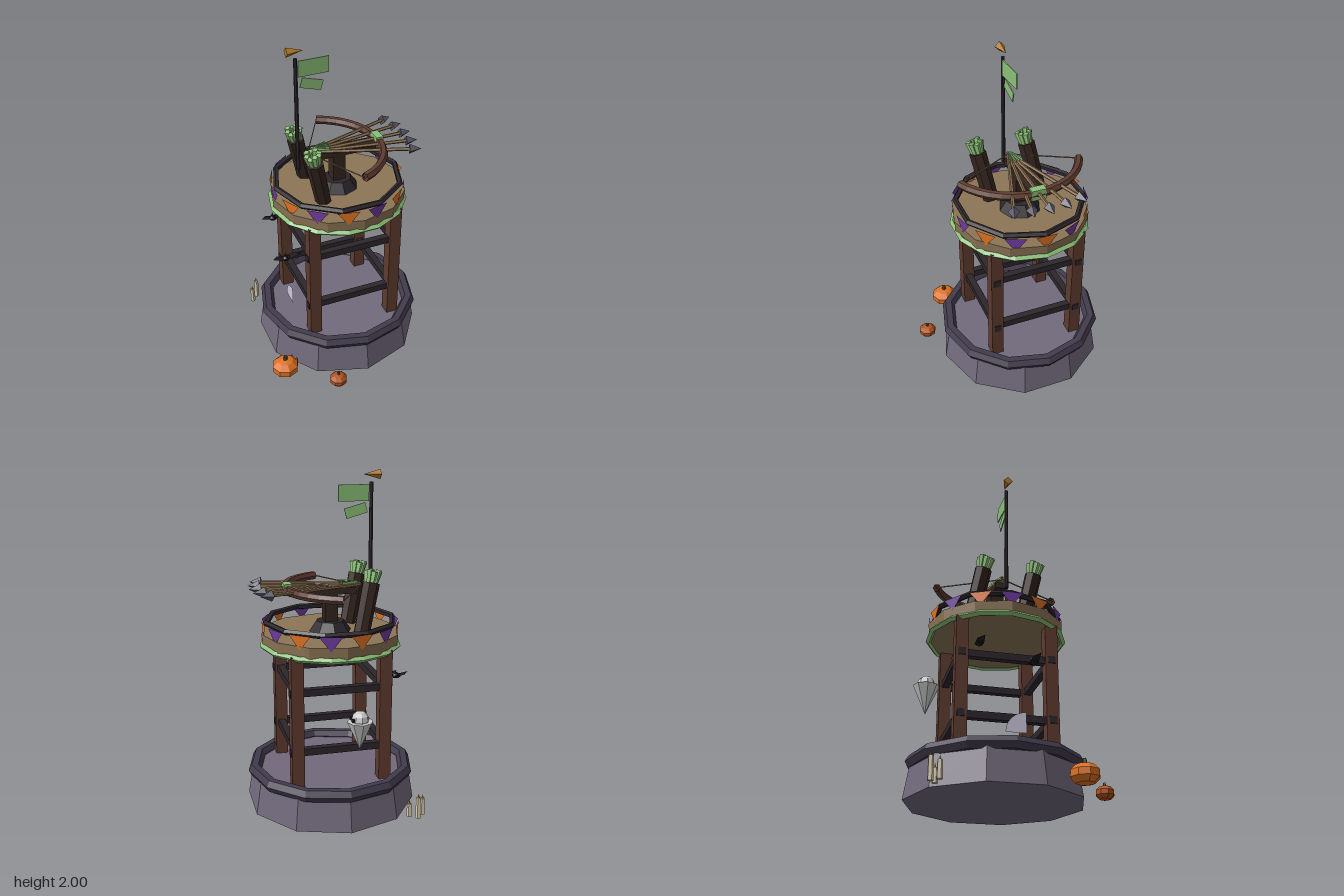
import * as THREE from 'three';

const CX = 0.03, CZ = -0.055;
const V = (x, y, z) => new THREE.Vector3(x, y, z);
const UP = V(0, 1, 0);

const C = {
  stone: 0x726a7c, rim: 0x413b4c, wood: 0x5f3c30, dark: 0x2c262b, deck: 0x8c7556,
  green: 0x8cc078, orange: 0xdd7022, purple: 0x6c3a9c, bark: 0x35251f, shaft: 0x8a7050,
  steel: 0x5a5866, gold: 0xb07a2c, white: 0xe6e8e6, ghost: 0xc4c8c4, black: 0x1c1a1f, cream: 0xd8ccb0,
  web: 0xcfc8dc, rust: 0xb0521c, stem: 0x4a4a2c,
};
const mats = {};
function mat(color, double = false) {
  const key = color + (double ? 'd' : '');
  return mats[key] ??= new THREE.MeshStandardMaterial({
    color, flatShading: true, side: double ? THREE.DoubleSide : THREE.FrontSide,
  });
}

export function createModel() {
  const model = new THREE.Group();

  function add(name, geo, color, pos = [0, 0, 0], parent = model, double = false) {
    const m = new THREE.Mesh(geo, mat(color, double));
    m.name = name;
    m.position.set(...pos);
    parent.add(m);
    return m;
  }
  const group = (name, pos = [0, 0, 0], parent = model) => {
    const g = new THREE.Group();
    g.name = name;
    g.position.set(...pos);
    parent.add(g);
    return g;
  };
  const box = (name, size, color, pos, parent) => add(name, new THREE.BoxGeometry(...size), color, pos, parent);
  // Tapered rod from a to b
  function rod(name, a, b, r0, r1, sides, color, parent) {
    const d = b.clone().sub(a);
    const m = add(name, new THREE.CylinderGeometry(r1, r0, d.length(), sides), color,
      a.clone().add(b).multiplyScalar(0.5).toArray(), parent);
    m.quaternion.setFromUnitVectors(UP, d.normalize());
    return m;
  }
  const ring = (name, r, tube, radial, sides, color, y) =>
    add(name, new THREE.TorusGeometry(r, tube, radial, sides).rotateX(Math.PI / 2), color, [CX, y, CZ]);
  // Flat double-sided polygon in the XY plane
  const flat = (name, pts, color, pos, parent) =>
    add(name, new THREE.ShapeGeometry(new THREE.Shape(pts.map(p => new THREE.Vector2(...p)))), color, pos, parent, true);

  // Stone base
  add('stoneBase', new THREE.CylinderGeometry(0.48, 0.515, 0.21, 10), C.stone, [CX, 0.105, CZ]);
  ring('baseRim', 0.47, 0.04, 6, 12, C.rim, 0.215);

  // Legs and rails
  for (const s of [-1, 1]) {
    for (const t of [-1, 1])
      box('leg', [0.073, 0.8, 0.073], C.wood, [CX + s * 0.26, 0.6, CZ + t * 0.26]);
    for (const y of [0.42, 0.78]) {
      box('crossRail', [0.604, 0.042, 0.042], C.dark, [CX, y, CZ + s * 0.26]);
      box('sideRail', [0.042, 0.042, 0.52], C.dark, [CX + s * 0.26, y, CZ]);
    }
  }

  // Deck with trim and railing
  add('deck', new THREE.CylinderGeometry(0.412, 0.405, 0.08, 12), C.deck, [CX, 1.028, CZ]);
  ring('deckTrim', 0.405, 0.018, 4, 14, C.green, 0.993);
  ring('railing', 0.383, 0.018, 5, 10, C.dark, 1.132);

  // Bunting
  for (let i = 0; i < 14; i++) {
    const a = i / 14 * Math.PI * 2;
    const f = flat('pennant', [[-0.066, 0], [0, -0.085], [0.066, 0]], i % 2 ? C.purple : C.orange,
      [CX + 0.4 * Math.cos(a), 1.13, CZ + 0.4 * Math.sin(a)]);
    f.rotation.y = Math.PI / 2 - a;
  }

  // Turret: pedestal, stock, bow, string
  add('pedestal', new THREE.CylinderGeometry(0.085, 0.127, 0.06, 8), C.dark, [CX, 1.098, CZ]);
  box('turretPost', [0.078, 0.2, 0.078], C.bark, [CX, 1.2, CZ]);
  box('stock', [0.4, 0.04, 0.078], C.bark, [0.08, 1.308, CZ]);
  box('grip', [0.046, 0.065, 0.088], C.green, [0.288, 1.33, CZ]);
  const half = 1.18, R = 0.4, bx = -0.11, by = 1.328;
  const bowTip = s => V(bx + R * Math.cos(half), by, CZ + s * R * Math.sin(half));
  const bow = add('bow', new THREE.TorusGeometry(R, 0.026, 6, 14, half * 2).rotateZ(-half).rotateX(Math.PI / 2),
    C.wood, [bx, by, CZ]);
  bow.material = mat(C.wood, true);
  const nock = V(-0.155, by, CZ);
  for (const s of [-1, 1]) rod('bowString', bowTip(s), nock, 0.004, 0.004, 4, C.shaft);

  // Fan of arrows
  for (let i = -2; i <= 2; i++) {
    const arrow = group('arrow', [nock.x, 1.336, CZ]);
    arrow.rotation.y = i * 0.165;
    rod('arrowShaft', V(0, 0, 0), V(0.61, 0, 0), 0.011, 0.011, 5, C.shaft, arrow);
    rod('arrowHead', V(0.595, 0, 0), V(0.665, 0, 0), 0.033, 0, 4, C.steel, arrow);
    box('fletching', [0.11, 0.034, 0.004], C.green, [0.075, 0.006, 0], arrow);
  }

  // Leaning quivers with feathered bundles
  for (const z of [0.075, -0.235]) {
    const q = group('quiver', [-0.11, 1.07, z]);
    q.quaternion.setFromUnitVectors(UP, V(-0.075, 0.31, 0.055).normalize());
    add('quiverTube', new THREE.CylinderGeometry(0.052, 0.048, 0.31, 7), C.bark, [0, 0.155, 0], q);
    for (let i = 0; i < 8; i++) {
      const a = i / 8 * Math.PI * 2, c = Math.cos(a), s = Math.sin(a);
      rod('feather', V(c * 0.026, 0.29, s * 0.026), V(c * 0.037, 0.375 + (i % 3) * 0.007, s * 0.037),
        0.012, 0.019, 4, C.green, q);
    }
  }

  // Flag pole with finial and two cloths
  rod('flagPole', V(-0.217, 1.24, -0.05), V(-0.217, 1.93, -0.05), 0.013, 0.011, 6, C.dark);
  rod('finial', V(-0.27, 1.972, -0.05), V(-0.17, 1.972, -0.05), 0.029, 0, 4, C.gold);
  box('upperFlag', [0.185, 0.095, 0.006], C.green, [-0.112, 1.868, -0.05]).rotation.y = 0.04;
  box('lowerFlag', [0.13, 0.06, 0.006], C.green, [-0.125, 1.767, -0.05]).rotation.z = -0.27;

  // Bats
  for (const [x, y, z, span] of [[-0.33, 0.808, -0.23, 0.08], [-0.355, 0.715, 0.075, 0.092]]) {
    const bat = group('bat', [x, y, z]);
    add('batBody', new THREE.IcosahedronGeometry(0.03, 0), C.black, [0, 0, 0], bat).scale.set(1, 0.6, 0.8);
    for (const s of [-1, 1]) {
      const wing = flat('batWing', [[0, -0.025], [s * span, -0.015], [s * span * 0.6, 0.02], [0, 0.025]],
        C.black, [0, 0, 0], bat);
      wing.rotation.set(-Math.PI / 2, -s * 0.22, 0);
      add('batEar', new THREE.ConeGeometry(0.008, 0.022, 4), C.black, [0, 0.02, s * 0.014], bat);
    }
  }

  // Hovering ghost
  const ghost = group('ghost', [-0.04, 0, -0.475]);
  add('ghostBody', new THREE.ConeGeometry(0.075, 0.17, 8).rotateX(Math.PI), C.ghost, [0, 0.555, 0], ghost);
  add('ghostHead', new THREE.SphereGeometry(0.052, 8, 6), C.white, [0, 0.648, 0], ghost);
  for (const s of [-1, 1])
    add('ghostEye', new THREE.SphereGeometry(0.012, 6, 4), C.black, [0.046, 0.655, s * 0.024], ghost);

  // Pumpkins
  function pumpkin(x, z, y, r, h, color, sides) {
    const p = group('pumpkin', [x, y, z]);
    add('pumpkinBody', new THREE.SphereGeometry(r, sides, 5), color, [0, 0, 0], p).scale.y = h / r;
    rod('pumpkinStem', V(0, h * 0.85, 0), V(0.003, h + r * 0.28, 0), r * 0.17, r * 0.13, 5, C.stem, p);
    return p;
  }
  const carved = pumpkin(-0.465, 0.305, 0.068, 0.085, 0.06, C.orange, 8);
  for (const a of [-0.7, -0.2]) {
    const eye = add('carvedEye', new THREE.ConeGeometry(0.017, 0.03, 3), C.gold,
      [0.08 * Math.cos(a), 0.018, 0.08 * Math.sin(a)], carved);
    eye.rotation.y = -a;
  }
  pumpkin(-0.195, 0.512, 0.048, 0.056, 0.042, C.rust, 8);

  // Candles
  for (const [x, z, h] of [[-0.44, -0.445, 0.1], [-0.4, -0.485, 0.13], [-0.355, -0.455, 0.08]]) {
    add('candle', new THREE.CylinderGeometry(0.015, 0.017, h, 5), C.cream, [x, h / 2, z]);
    add('flame', new THREE.ConeGeometry(0.007, 0.024, 4), C.gold, [x, h + 0.012, z]);
  }

  // Corner cobweb
  add('cobweb', new THREE.CircleGeometry(0.118, 6, 0, Math.PI / 2), C.web, [-0.31, 0.315, 0.04], model, true)
    .rotation.y = Math.PI / 2;

  return model;
}
